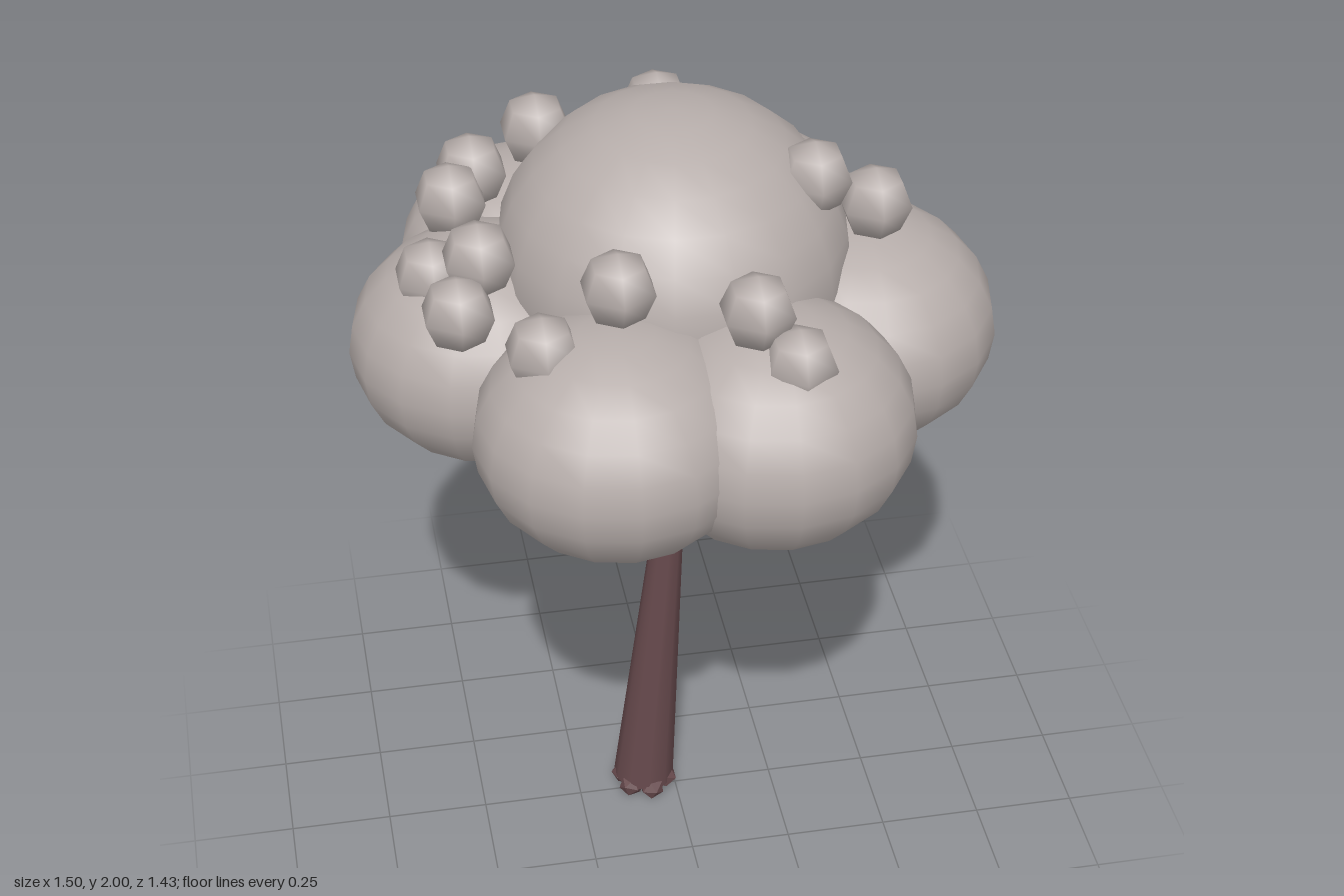
import * as THREE from 'three';

export function createModel() {
  const tree = new THREE.Group();
  const foliage = new THREE.MeshStandardMaterial({ color: 0xb6adaa });
  foliage.name = 'foliage';
  const bark = new THREE.MeshStandardMaterial({ color: 0x66494c });
  bark.name = 'bark';

  const add = (name, geometry, material, x = 0, y = 0, z = 0) => {
    const mesh = new THREE.Mesh(geometry, material);
    mesh.name = name;
    mesh.position.set(x, y, z);
    tree.add(mesh);
    return mesh;
  };

  // Tapered limb between two points
  const limb = (name, from, to, r0, r1, sides) => {
    const a = new THREE.Vector3(...from), b = new THREE.Vector3(...to);
    const dir = b.clone().sub(a);
    const mesh = add(name, new THREE.CylinderGeometry(r1, r0, dir.length(), sides), bark);
    mesh.position.copy(a).add(b).multiplyScalar(0.5);
    mesh.quaternion.setFromUnitVectors(new THREE.Vector3(0, 1, 0), dir.normalize());
  };

  // Leaning trunk
  limb('trunk', [-0.08, 0.035, -0.02], [-0.012, 0.86, -0.02], 0.077, 0.037, 10);

  // Knobbly roots around the foot
  for (let i = 0; i < 6; i++) {
    const a = (i / 6) * Math.PI * 2 + 0.3;
    const root = add('root', new THREE.IcosahedronGeometry(0.03, 0), bark,
      -0.08 + 0.053 * Math.cos(a), 0.032, -0.012 + 0.053 * Math.sin(a));
    root.rotation.set(i, i * 2, 0);
    root.scale.set(1.1, 0.95, 1.1);
  }

  // Ring of leaf lobes, each held by a branch: x, y, z, rx, ry, rz
  const lobes = [
    [0.43, 1.43, 0.03, 0.32, 0.27, 0.335],
    [0.15, 1.425, 0.39, 0.325, 0.275, 0.325],
    [-0.2, 1.435, 0.39, 0.325, 0.27, 0.325],
    [-0.43, 1.42, -0.05, 0.325, 0.27, 0.32],
    [-0.28, 1.42, -0.38, 0.325, 0.275, 0.32],
    [0.23, 1.41, -0.39, 0.33, 0.28, 0.33],
  ];
  for (const [x, y, z, rx, ry, rz] of lobes) {
    add('leafLobe', new THREE.SphereGeometry(1, 16, 12), foliage, x, y, z).scale.set(rx, ry, rz);
    limb('branch', [-0.012, 0.84, -0.02], [x * 0.73, 1.27, z * 0.73], 0.024, 0.017, 6);
  }

  // Central crown
  add('crown', new THREE.SphereGeometry(1, 18, 14), foliage, 0, 1.63, -0.025).scale.set(0.41, 0.37, 0.425);

  // Small faceted leaf buds scattered over the crown
  const budGeometry = new THREE.SphereGeometry(0.088, 6, 4).rotateY(Math.PI / 2);
  const buds = [
    [-0.05, 1.53, -0.62], [0.05, 1.73, -0.52],
    [-0.43, 1.74, -0.28], [-0.49, 1.72, -0.19], [-0.28, 1.85, -0.25],
    [-0.56, 1.64, 0], [-0.46, 1.73, 0.09], [-0.52, 1.65, 0.18],
    [-0.36, 1.66, 0.38], [-0.19, 1.79, 0.36],
    [0.1, 1.75, 0.44], [0.18, 1.65, 0.51],
    [0.3, 1.86, 0.09], [0.45, 1.76, 0.06],
  ];
  for (const [x, y, z] of buds) add('leafBud', budGeometry, foliage, x, y, z);

  return tree;
}
